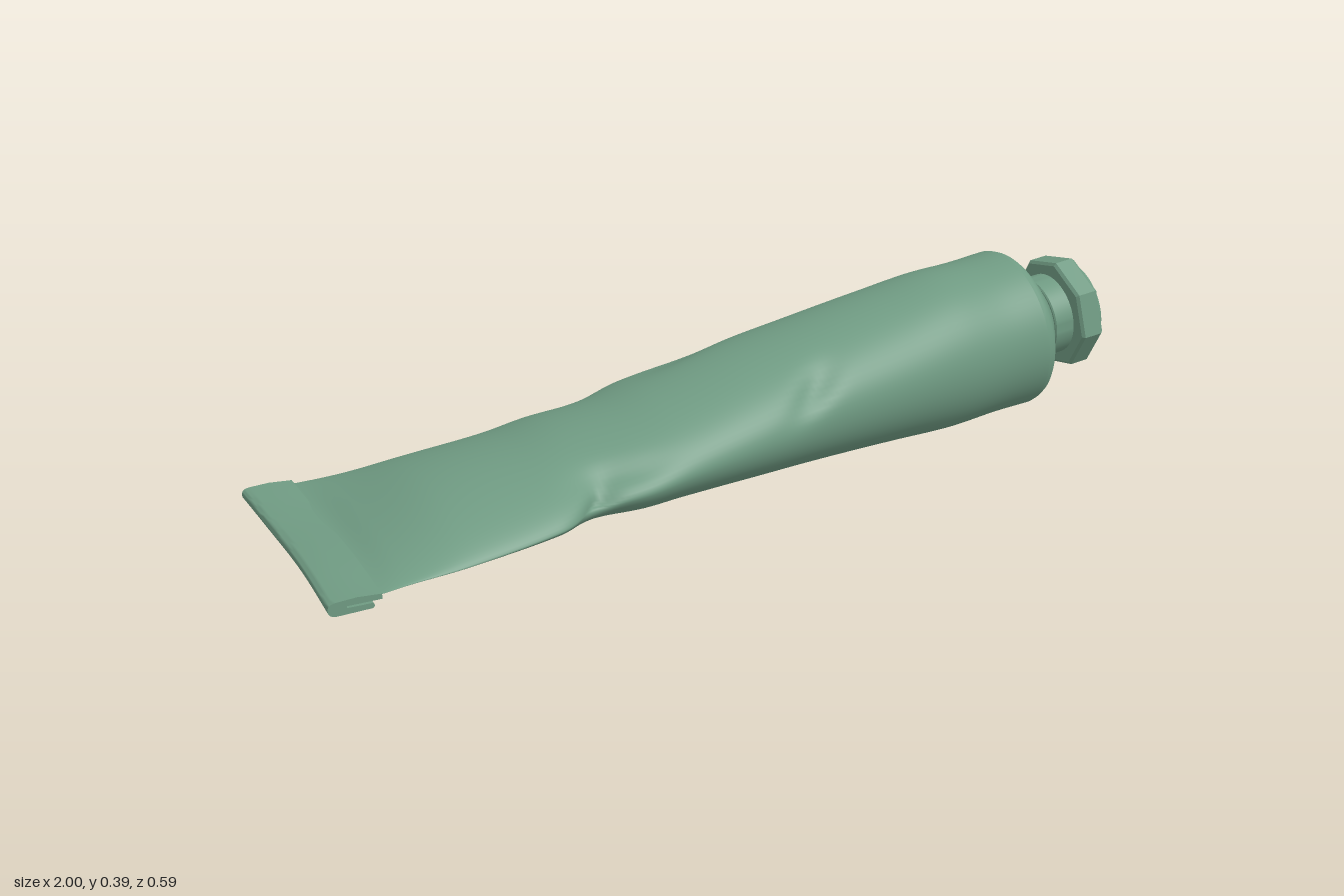
import * as THREE from 'three';
import { toCreasedNormals } from 'three/addons/utils/BufferGeometryUtils.js';

const COLOR = 0x6f9a82;
const TILT = 0.115; // the round end points slightly upward
const END = { x: 0.775, y: 0.213, z: -0.045 };

// Stations along the tube: x, bottom, top, back z, front z, height of the side edges, edge sharpness
const STATIONS = [
  [-0.97, 0.044, 0.057, -0.297, 0.292, 0.050, 1.0],
  [-0.90, 0.044, 0.056, -0.296, 0.287, 0.050, 1.0],
  [-0.84, 0.036, 0.078, -0.293, 0.278, 0.051, 1.3],
  [-0.70, 0.021, 0.128, -0.287, 0.268, 0.056, 1.4],
  [-0.50, 0.017, 0.160, -0.271, 0.248, 0.075, 1.35],
  [-0.40, 0.012, 0.183, -0.262, 0.212, 0.088, 1.3],
  [-0.28, 0.007, 0.206, -0.244, 0.216, 0.103, 1.2],
  [-0.18, 0.007, 0.232, -0.254, 0.210, 0.120, 1.12],
  [0.00, 0.009, 0.275, -0.249, 0.200, 0.145, 1.05],
  [0.20, 0.009, 0.313, -0.242, 0.180, 0.168, 1],
  [0.40, 0.008, 0.351, -0.243, 0.167, 0.185, 1],
  [0.55, 0.008, 0.379, -0.233, 0.157, 0.197, 1],
  [0.68, 0.019, 0.388, -0.234, 0.146, 0.207, 1],
  [END.x, 0.025, 0.401, -0.233, 0.143, END.y, 1],
];

// Soft dents: x, angle around the tube, length, angular width, depth, diagonal slant
const DENTS = [
  [-0.40, 0.15, 0.035, 0.35, 0.022, 0.05],
  [-0.33, 0.55, 0.09, 0.25, 0.012, -0.15],
  [0.14, 0.55, 0.05, 0.3, 0.016, 0.12],
  [-0.28, 2.75, 0.06, 0.35, 0.012, 0.08],
  [-0.05, 2.2, 0.10, 0.3, 0.010, 0.15],
  [0.47, 2.7, 0.06, 0.4, 0.007, 0.06],
];

// Smooth curve through one column of the stations
function sample(x, col) {
  const S = STATIONS, n = S.length;
  let i = 0;
  while (i < n - 2 && x > S[i + 1][0]) i++;
  const slope = (k) => {
    const a = S[Math.max(k - 1, 0)], b = S[Math.min(k + 1, n - 1)];
    return (b[col] - a[col]) / (b[0] - a[0]);
  };
  const h = S[i + 1][0] - S[i][0], t = (x - S[i][0]) / h, u = 1 - t;
  return S[i][col] * u * u * (1 + 2 * t) + S[i + 1][col] * t * t * (3 - 2 * t)
    + h * t * u * (u * slope(i) - t * slope(i + 1));
}

const tailSkew = (x, z) => (z + 0.3) * 0.025 * (1 - THREE.MathUtils.smoothstep(x, -1, -0.5))
  + 0.008 * Math.cos(z * 5.2) * (1 - THREE.MathUtils.smoothstep(x, -1, -0.8));

function bodyGeometry() {
  const rows = 150, around = 72, pos = [], index = [];
  const x0 = STATIONS[0][0];
  for (let i = 0; i <= rows; i++) {
    const x = x0 + (END.x - x0) * i / rows;
    const [bot, top, back, front, edge, p] = [1, 2, 3, 4, 5, 6].map((c) => sample(x, c));
    const zc = (front + back) / 2, w = (front - back) / 2;
    const tilt = THREE.MathUtils.smoothstep(x, 0.3, END.x);
    for (let k = 0; k < around; k++) {
      const a = k / around * Math.PI * 2, s = Math.sin(a);
      let y = edge + Math.pow(Math.abs(s), p) * (s > 0 ? top - edge : bot - edge);
      let z = zc + w * Math.cos(a);
      for (const [dx, da, lx, la, depth, slant] of DENTS) {
        const d = Math.atan2(Math.sin(a - da), Math.cos(a - da));
        const f = depth * Math.exp(-(((x - dx - slant * d) / lx) ** 2) - (d / la) ** 2);
        y -= f * s;
        z -= f * Math.cos(a);
      }
      pos.push(x + tailSkew(x, z) - tilt * (y - END.y) * TILT, y, z);
    }
  }
  for (let i = 0; i < rows; i++) {
    for (let k = 0; k < around; k++) {
      const a = i * around + k, c = i * around + (k + 1) % around;
      index.push(a, a + around, c, c, a + around, c + around);
    }
  }
  const g = new THREE.BufferGeometry();
  g.setAttribute('position', new THREE.Float32BufferAttribute(pos, 3));
  g.setIndex(index);
  g.computeVertexNormals();
  return g;
}

// Flat end folded back under itself
function foldGeometry() {
  const s = new THREE.Shape();
  s.moveTo(-0.90, 0.056);
  s.lineTo(-0.95, 0.060);
  s.lineTo(-0.99, 0.058);
  s.quadraticCurveTo(-1.008, 0.057, -1.008, 0.044);
  s.quadraticCurveTo(-1.008, 0.030, -0.99, 0.029);
  s.lineTo(-0.92, 0.030);
  s.quadraticCurveTo(-0.912, 0.036, -0.92, 0.041);
  s.lineTo(-0.97, 0.042);
  s.lineTo(-0.97, 0.046);
  s.lineTo(-0.90, 0.045);
  const g = new THREE.ExtrudeGeometry(s, { depth: 0.591, steps: 30, bevelEnabled: false, curveSegments: 6 });
  g.translate(0, 0, -0.298);
  const p = g.attributes.position;
  for (let i = 0; i < p.count; i++) {
    const z = p.getZ(i);
    p.setX(i, p.getX(i) + tailSkew(p.getX(i), z));
    p.setY(i, p.getY(i) + 0.002 * Math.sin(z * 14));
  }
  return toCreasedNormals(g, 0.7);
}

function lathe(points, sides, crease, phase = 0) {
  const g = new THREE.LatheGeometry(points.map(([r, t]) => new THREE.Vector2(r, t)), sides, phase);
  return toCreasedNormals(g, crease);
}

export function createModel() {
  const model = new THREE.Group();
  model.name = 'squeezeTube';
  const material = new THREE.MeshStandardMaterial({ color: COLOR, side: THREE.DoubleSide });
  const add = (parent, name, geometry) => {
    const mesh = new THREE.Mesh(geometry, material);
    mesh.name = name;
    parent.add(mesh);
  };

  add(model, 'tubeBody', bodyGeometry());
  add(model, 'foldedTail', foldGeometry());

  // Round parts stand on the tilted axis of the tube's end
  const nozzle = new THREE.Group();
  nozzle.name = 'nozzle';
  nozzle.position.set(END.x, END.y, END.z);
  nozzle.rotation.z = TILT - Math.PI / 2;
  model.add(nozzle);

  add(nozzle, 'shoulder', lathe(
    [[0.188, 0], [0.187, 0.008], [0.183, 0.017], [0.175, 0.025], [0.105, 0.077], [0.086, 0.08]], 72, 0.5));
  add(nozzle, 'neck', lathe(
    [[0.086, 0.075], [0.086, 0.086], [0.095, 0.086], [0.098, 0.089], [0.098, 0.138], [0.09, 0.142]], 64, 0.5));
  // Eight-sided cap with bevelled edges
  add(nozzle, 'capGrip', lathe(
    [[0, 0.139], [0.13, 0.139], [0.137, 0.145], [0.137, 0.191], [0.129, 0.2], [0, 0.2]], 8, 0.1, 0.194));
  // Raised rim around the sunken cap face
  add(nozzle, 'capRim', lathe(
    [[0.118, 0.198], [0.117, 0.204], [0.113, 0.209], [0.106, 0.21], [0.101, 0.208], [0.099, 0.202], [0, 0.202]], 64, 0.6));
  return model;
}
